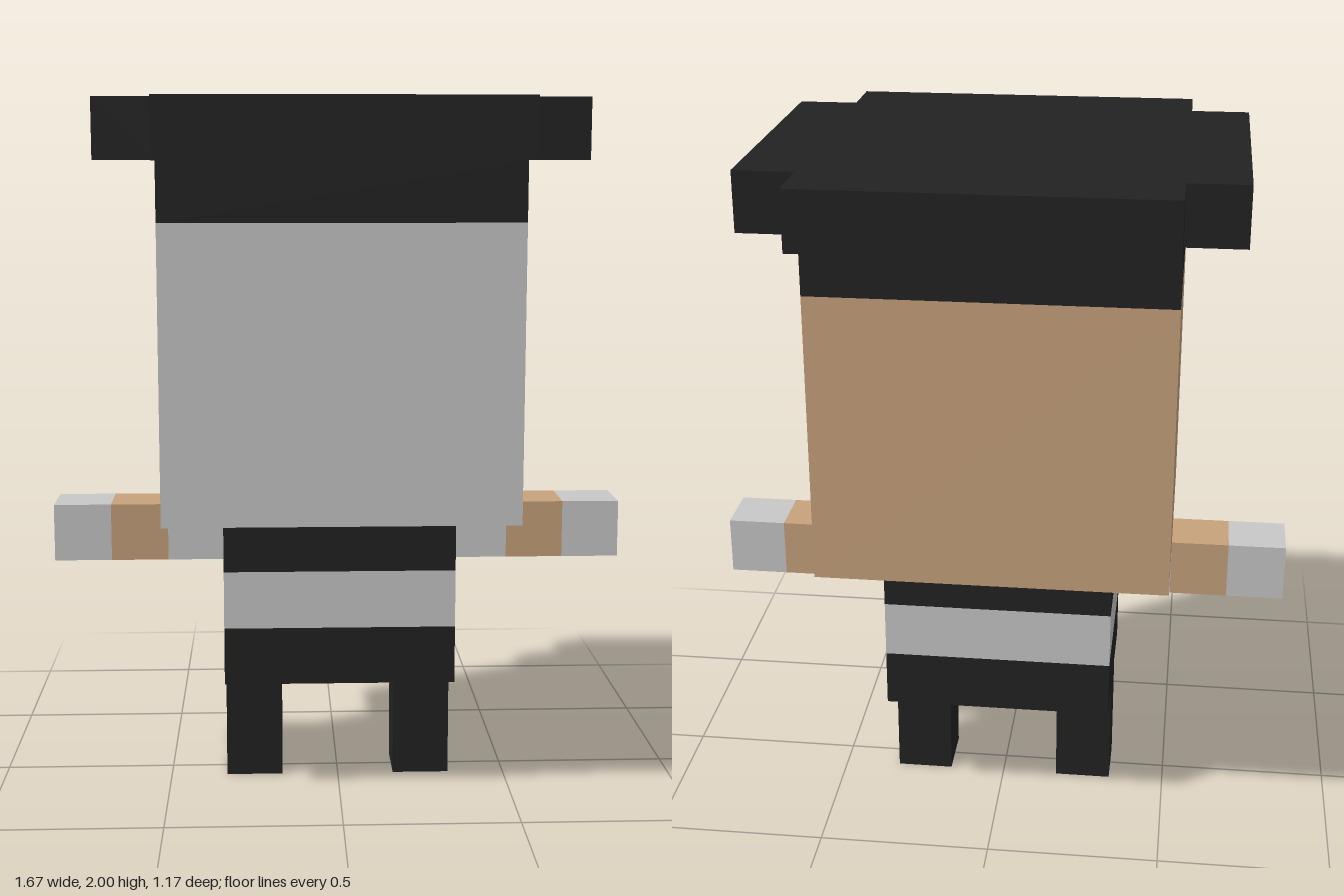
import * as THREE from 'three';

const U = 1 / 6; // one block

export function createModel() {
  const mat = (name, color) => {
    const m = new THREE.MeshStandardMaterial({ color });
    m.name = name;
    return m;
  };
  const black = mat('black', 0x222222);
  const grey = mat('light grey', 0xc8c8c8);
  const tan = mat('tan', 0xc8a27c);

  const model = new THREE.Group();
  model.name = 'blockFigure';

  // Box given by its minimum and maximum corners, in blocks
  const block = (name, material, [x0, y0, z0], [x1, y1, z1], parent = model) => {
    const geo = new THREE.BoxGeometry((x1 - x0) * U, (y1 - y0) * U, (z1 - z0) * U);
    const mesh = new THREE.Mesh(geo, material);
    mesh.position.set((x0 + x1) / 2, (y0 + y1) / 2, (z0 + z1) / 2).multiplyScalar(U);
    mesh.name = name;
    parent.add(mesh);
    return mesh;
  };

  // Banded body
  block('hips', black, [-2, 2, -1.5], [2, 3, 1.5]);
  block('waistBand', grey, [-2, 3, -1.5], [2, 4, 1.5]);
  block('chest', black, [-2, 4, -1.5], [2, 5, 1.5]);

  // Head with a pale face slab in front
  block('head', tan, [-3, 5, -2.5], [3, 10, 1.5]);
  block('face', grey, [-3, 5, 1.5], [3, 10, 2.5]);

  // Legs and arms on both sides
  for (const [side, s] of [['left', 1], ['right', -1]]) {
    const span = (a, b) => (s > 0 ? [a, b] : [-b, -a]);
    const [l0, l1] = span(1, 2);
    block(side + 'Leg', black, [l0, 0, -0.5], [l1, 2, 0.5]);

    const arm = new THREE.Group();
    arm.name = side + 'Arm';
    model.add(arm);
    [['Sleeve', grey], ['Forearm', tan], ['Hand', grey]].forEach(([part, material], i) => {
      const [a0, a1] = span(2 + i, 3 + i);
      block(side + part, material, [a0, 4, -0.5], [a1, 5, 0.5], arm);
    });
  }

  // Hat: crown band and a brim with notched corners
  block('hatBand', black, [-3, 10, -2.5], [3, 11, 2.5]);
  const outline = [
    [4, 2.5], [3, 2.5], [3, 3.5], [-3, 3.5], [-3, 2.5], [-4, 2.5],
    [-4, -2.5], [-3, -2.5], [-3, -3.5], [3, -3.5], [3, -2.5], [4, -2.5],
  ].map(([x, z]) => new THREE.Vector2(x * U, z * U));
  const brimGeo = new THREE.ExtrudeGeometry(new THREE.Shape(outline), { depth: U, bevelEnabled: false });
  brimGeo.rotateX(-Math.PI / 2);
  const brim = new THREE.Mesh(brimGeo, black);
  brim.name = 'hatBrim';
  brim.position.y = 11 * U;
  model.add(brim);

  return model;
}
